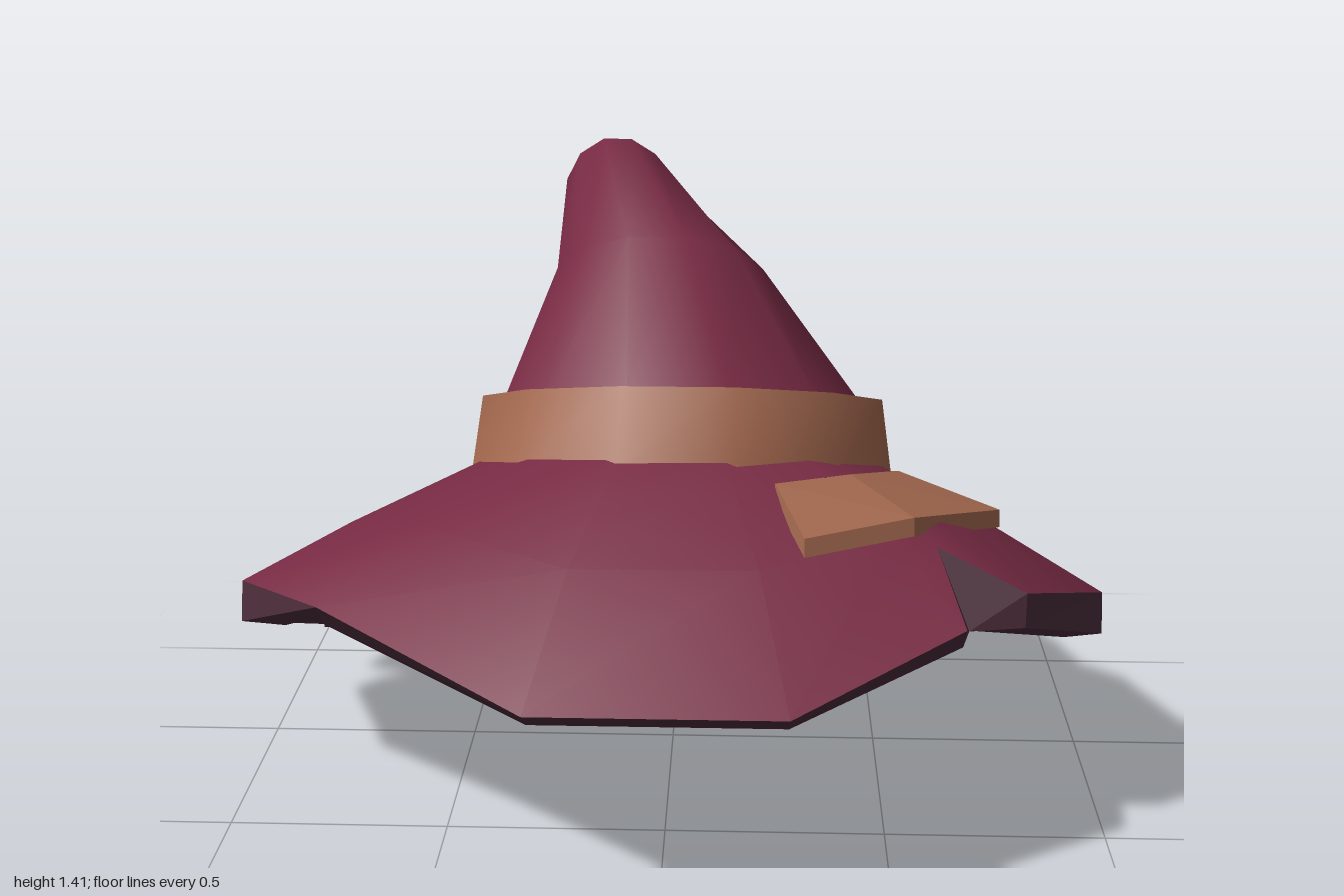
import * as THREE from 'three';

const V = (x, y, z) => new THREE.Vector3(x, y, z);
const material = (name, color) => {
  const m = new THREE.MeshStandardMaterial({ color });
  m.name = name;
  return m;
};

// Skin a list of closed rings that all have the same number of points.
function loft(name, rings, mat, flat = false) {
  const n = rings[0].length;
  const index = [];
  for (let i = 0; i < rings.length - 1; i++) {
    for (let j = 0; j < n; j++) {
      const k = (j + 1) % n;
      const a = i * n + j, b = i * n + k, c = a + n, d = b + n;
      index.push(a, c, b, b, c, d);
    }
  }
  let geo = new THREE.BufferGeometry().setFromPoints(rings.flat());
  geo.setIndex(index);
  if (flat) geo = geo.toNonIndexed();
  geo.computeVertexNormals();
  const mesh = new THREE.Mesh(geo, mat);
  mesh.name = name;
  return mesh;
}

// Twelve-sided ring: half width along x, half depth along v.
function ring(center, rx, v) {
  return Array.from({ length: 12 }, (_, j) => {
    const a = (j + 0.5) * Math.PI / 6;
    return center.clone().add(V(rx * Math.cos(a), 0, 0)).addScaledVector(v, Math.sin(a));
  });
}

const collapse = (pts) => {
  const c = pts.reduce((s, p) => s.add(p), V(0, 0, 0)).divideScalar(pts.length);
  return pts.map(() => c.clone());
};

// Offset from the brim's upper edge to its lower edge, following the drooping front.
function edgeDrop(z) {
  if (z > 0.9) return V(0, -0.06, -0.09);
  if (z > 0.65) return V(0, -0.065, -0.065);
  if (z > 0.5) return V(0, -0.08, 0);
  if (z < -0.6) return V(0, -0.07, 0.02);
  return V(0, -0.09, 0.03);
}

export function createModel() {
  const hat = new THREE.Group();
  hat.name = 'hat';
  const felt = material('wine felt', 0x782b44);
  const lining = material('dark lining', 0x4c2d3b);
  const leather = material('tan leather', 0xa5694f);

  // The whole hat leans back: forward direction of the tilted plane.
  const fwd = V(0, 0.35, 0.94);
  const foot = V(0.02, 0.65, -0.085);
  const bandTop = V(0.02, 0.83, -0.15);
  const tilted = (c, r) => ring(c, r, fwd.clone().multiplyScalar(r));

  // Brim outline from the left side round the front.
  // A fourth entry marks a notch tip and gives the foot of its sloping wall.
  const outline = [
    [1, 0.5, 0.25], [0.78, 0.63, 0.59], [0.59, 0.71, 0.53, [0.66, 0.54, 0.59]], [0.64, 0.6, 0.73],
    [0.27, 0.5, 0.97], [-0.27, 0.5, 0.97], [-0.73, 0.62, 0.7], [-1, 0.5, 0.25],
    [-1, 0.31, -0.18], [-0.77, 0.42, -0.24, [-0.88, 0.22, -0.25]], [-0.94, 0.23, -0.36],
    [-0.73, 0.08, -0.71], [-0.27, 0.07, -0.97], [0.27, 0.07, -0.97],
    [0.73, 0.08, -0.71], [1, 0.27, -0.27],
  ];
  const outer = [], mid = [], root = [], lower = [], inner = [], midUnder = [], rootUnder = [];
  for (const [x, y, z, wallFoot] of outline) {
    const p = V(x, y, z);
    const a = Math.atan2((z - foot.z) / 0.94, x - foot.x);
    const s = Math.sin(a);
    const r = foot.clone().add(V(0.495 * Math.cos(a), 0, 0)).addScaledVector(fwd, 0.495 * s);
    const m = r.clone().lerp(p, wallFoot ? 0.85 : 0.55);
    m.y += wallFoot ? 0.01 : 0.025 + 0.05 * s ** 3;
    const low = wallFoot ? V(...wallFoot) : p.clone().add(edgeDrop(z));
    outer.push(p);
    mid.push(m);
    root.push(r.clone().add(V(0, 0.035, -0.013)));
    lower.push(low);
    inner.push(low.clone().lerp(foot, wallFoot ? 0.01 : 0.11));
    midUnder.push(m.clone().add(V(0, -0.08, 0.02)).lerp(foot, 0.05));
    rootUnder.push(r.clone().add(V(0, -0.07, 0.02)));
  }
  const brim = new THREE.Group();
  brim.name = 'brim';
  brim.add(
    loft('brimTop', [outer, mid, root], felt),
    loft('brimEdge', [lower, outer], lining, true),
    loft('brimLip', [inner, lower], lining, true),
    loft('brimUnderside', [collapse(rootUnder), rootUnder, midUnder, inner], lining),
  );
  hat.add(brim);

  // Band: outer wall, flat top rim and a short inner wall.
  const band = new THREE.Group();
  band.name = 'band';
  const rimOut = tilted(bandTop, 0.495), rimIn = tilted(bandTop, 0.445);
  band.add(
    loft('bandWall', [tilted(foot, 0.52), rimOut], leather),
    loft('bandRim', [rimOut, rimIn], leather),
    loft('bandInside', [rimIn, tilted(bandTop.clone().add(V(0, -0.05, 0.02)), 0.44)], leather),
  );
  hat.add(band);

  // Crown: a bent cone whose tip folds over backwards.
  const tip = ring(V(-0.16, 1.005, -0.785), 0.035, V(0, 0.015, -0.02));
  hat.add(loft('crown', [
    tilted(bandTop.clone().add(V(0, -0.01, 0.004)), 0.445),
    ring(V(-0.04, 1.105, -0.285), 0.26, V(0, 0.155, 0.215)),
    ring(V(-0.16, 1.27, -0.53), 0.135, V(0, 0.15, 0.02)),
    ring(V(-0.16, 1.15, -0.75), 0.07, V(0, 0.05, -0.05)),
    tip, collapse(tip),
  ], felt));

  // Loose band ends lying on the brim: stations of [inner point, outer point].
  const strap = (name, stations, thick) => {
    const down = V(0, -0.94, 0.35).multiplyScalar(thick);
    const rings = stations.map(([i, o]) => {
      const a = V(...i), b = V(...o);
      return [a, b, b.clone().add(down), a.clone().add(down)];
    });
    rings.unshift(collapse(rings[0]));
    rings.push(collapse(rings[rings.length - 1]));
    hat.add(loft(name, rings, leather, true));
  };
  strap('frontStrap', [
    [[0.53, 0.75, 0.13], [0.76, 0.685, 0.21]],
    [[0.41, 0.8, 0.31], [0.54, 0.77, 0.51]],
    [[0.24, 0.81, 0.41], [0.3, 0.77, 0.65]],
  ], 0.04);
  strap('backStrap', [
    [[-0.33, 0.57, -0.44], [-0.6, 0.26, -0.61]],
    [[-0.12, 0.52, -0.57], [-0.23, 0.225, -0.81]],
  ], 0.05);
  return hat;
}
